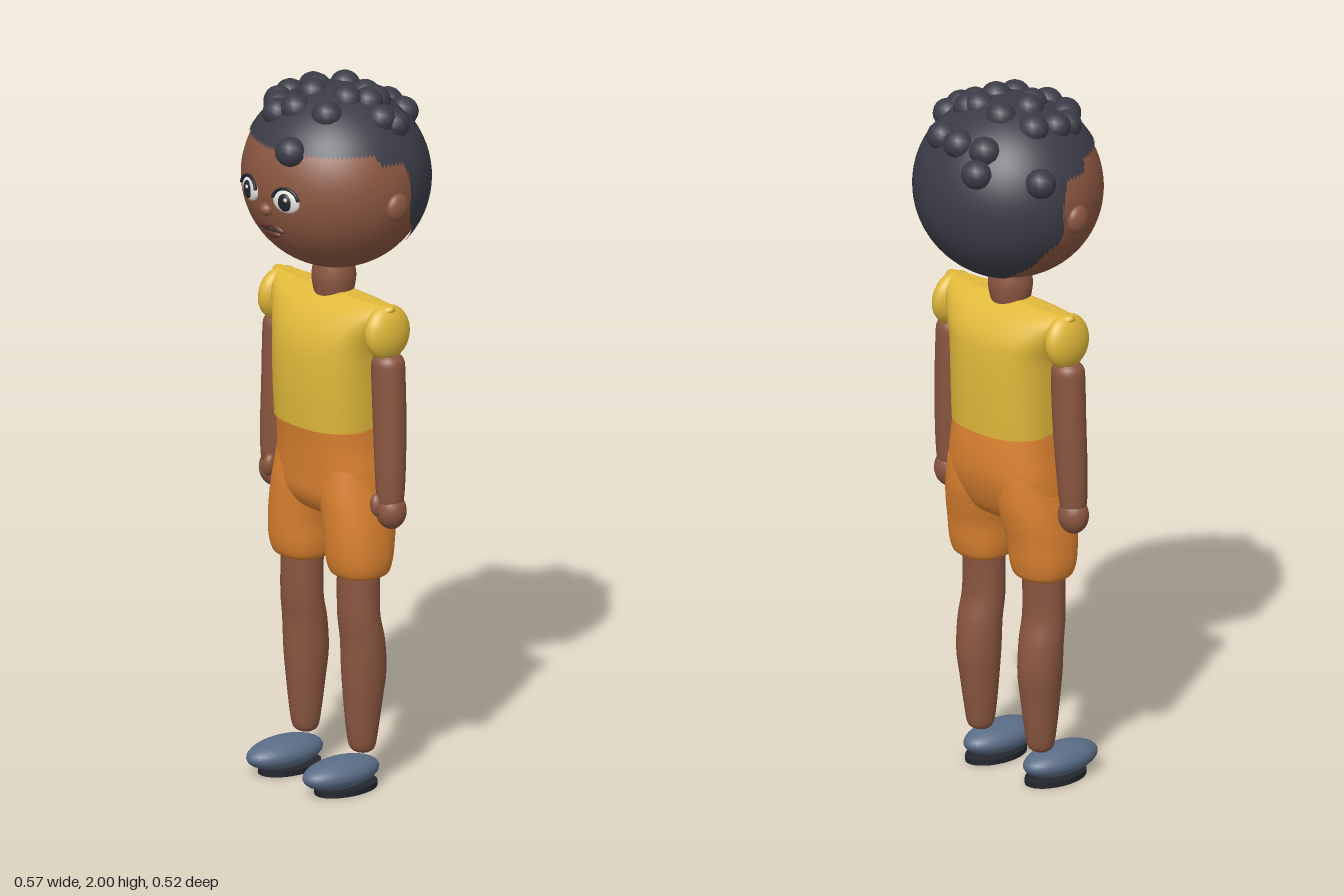
import * as THREE from 'three';

const mat = (name, color) => Object.assign(new THREE.MeshStandardMaterial({ color }), { name });

// Closed smooth body from ellipse-like sections [y, cx, cz, rx, rz], listed bottom to top
function loft(sections, power = 2, sub = 5, sides = 36) {
  const rows = [];
  const at = (i) => sections[THREE.MathUtils.clamp(i, 0, sections.length - 1)];
  for (let i = 0; i < sections.length - 1; i++) {
    for (let s = 0; s < sub; s++) {
      const t = s / sub, t2 = t * t, t3 = t2 * t;
      rows.push(at(i).map((b, k) => {
        const a = at(i - 1)[k], c = at(i + 1)[k], d = at(i + 2)[k];
        return b + 0.5 * ((c - a) * t + (2 * a - 5 * b + 4 * c - d) * t2 + (3 * b - a - 3 * c + d) * t3);
      }));
    }
  }
  rows.push(sections.at(-1));
  const point = (r) => [r[0], r[1], r[2], 0, 0];
  const all = [point(rows[0]), rows[0], ...rows, rows.at(-1), point(rows.at(-1))];
  const pos = [], idx = [];
  const pow = (v) => Math.sign(v) * Math.abs(v) ** (2 / power);
  all.forEach(([y, cx, cz, rx, rz], i) => {
    for (let j = 0; j < sides; j++) {
      const a = (j / sides) * Math.PI * 2;
      pos.push(cx + rx * pow(Math.cos(a)), y, cz + rz * pow(Math.sin(a)));
      if (i === all.length - 1 || i === 1 || i === all.length - 3) continue;
      const p = i * sides + j, n = i * sides + ((j + 1) % sides);
      idx.push(p, p + sides, n, n, p + sides, n + sides);
    }
  });
  const g = new THREE.BufferGeometry();
  g.setAttribute('position', new THREE.Float32BufferAttribute(pos, 3));
  g.setIndex(idx);
  g.computeVertexNormals();
  return g;
}

// Hair shell: a unit sphere whose lower edge follows the hairline [degrees from front, y]
function hairShell(cy, ry) {
  const line = [[0, 1.84], [75, 1.84], [79, 1.81], [96, 1.805], [99, 1.77], [101, 1.63], [110, 1.6],
    [118, 1.55], [140, 1.49], [180, 1.475]];
  const g = new THREE.SphereGeometry(1, 120, 28);
  const { position, normal, uv } = g.attributes;
  for (let i = 0; i < position.count; i++) {
    const phi = uv.getX(i) * Math.PI * 2;
    let a = Math.abs(THREE.MathUtils.radToDeg(phi) - 90);
    if (a > 180) a = 360 - a;
    const k = Math.max(1, line.findIndex((p) => p[0] >= a));
    const y = THREE.MathUtils.mapLinear(a, line[k - 1][0], line[k][0], line[k - 1][1], line[k][1]);
    const theta = (1 - uv.getY(i)) * Math.acos(Math.max(-1, (y - cy) / ry));
    const p = [-Math.cos(phi) * Math.sin(theta), Math.cos(theta), Math.sin(phi) * Math.sin(theta)];
    position.setXYZ(i, ...p);
    normal.setXYZ(i, ...p);
  }
  return g;
}

export function createModel() {
  const root = new THREE.Group();
  root.name = 'child';
  const skin = mat('skin', 0x8a5640), hairMat = mat('hair', 0x3c3c48), yellow = mat('shirt', 0xe0b83a);
  const orange = mat('shorts', 0xdc8230), shoeMat = mat('shoe', 0x5a6c86), soleMat = mat('sole', 0x24262e);
  const white = mat('eyeWhite', 0xe4e0da), dark = mat('eyeDark', 0x20242c), lipMat = mat('lips', 0x62352a);

  const add = (parent, name, geometry, material, p = [0, 0, 0], s = [1, 1, 1]) => {
    const m = new THREE.Mesh(geometry, material);
    m.name = name;
    m.position.set(...p);
    m.scale.set(...s);
    parent.add(m);
    return m;
  };
  const ball = new THREE.SphereGeometry(1, 32, 22);
  const curlBall = new THREE.SphereGeometry(1, 14, 10);
  const group = (name, parent = root) => {
    const g = new THREE.Group();
    g.name = name;
    parent.add(g);
    return g;
  };

  // Head and neck
  const CY = 1.72, CZ = -0.004;
  const head = group('head');
  add(head, 'skull', new THREE.SphereGeometry(1, 56, 40), skin, [0, CY, CZ], [0.263, 0.253, 0.25]);
  add(head, 'neck', loft([[1.37, 0, 0, 0.05, 0.05], [1.4, 0, 0, 0.058, 0.056], [1.44, 0, 0, 0.062, 0.06],
    [1.49, 0, 0, 0.052, 0.05]]), skin);
  add(head, 'nose', ball, skin, [0, 1.675, 0.242], [0.021, 0.018, 0.019]);

  // Hair cap with curls [x, z] resting on it
  add(head, 'hairCap', hairShell(CY, 0.257), hairMat, [0, CY, CZ], [0.27, 0.257, 0.258]);
  const curls = [[-0.09, -0.215], [-0.08, -0.175], [0.005, -0.19], [0.085, -0.175], [-0.225, -0.105],
    [-0.04, -0.075], [0.055, -0.065], [0.085, -0.075], [0.095, -0.04], [0.175, -0.065], [0.16, -0.03],
    [-0.13, -0.04], [-0.06, 0.01], [-0.035, 0.045], [0.065, 0.01], [-0.145, 0.03], [-0.14, 0.075],
    [-0.1, 0.11], [-0.07, 0.14], [-0.02, 0.12], [0.08, 0.095], [0.06, 0.208]];
  for (const [x, z] of curls) {
    const h = Math.sqrt(Math.max(0.02, 1 - (x / 0.27) ** 2 - ((z - CZ) / 0.258) ** 2));
    add(head, 'curl', curlBall, hairMat, [x, CY + 0.242 * h, z], [0.044, 0.041, 0.042]);
  }

  // Mouth: upper lip in two lobes, lower lip, dark parting line
  for (const s of [-1, 1]) {
    const lip = add(head, 'upperLip', ball, lipMat, [s * 0.022, 1.622, 0.223], [0.028, 0.01, 0.009]);
    lip.rotation.z = -s * 0.25;
  }
  add(head, 'lowerLip', ball, lipMat, [0, 1.6, 0.217], [0.03, 0.011, 0.01]);
  add(head, 'mouthLine', ball, dark, [0, 1.612, 0.227], [0.034, 0.002, 0.004]);

  // Shirt body
  add(root, 'shirtBody', loft([[1.03, 0, 0.003, 0.166, 0.136], [1.12, 0, 0.004, 0.169, 0.139],
    [1.2, 0, 0.004, 0.173, 0.138], [1.26, 0, 0.003, 0.18, 0.133], [1.31, 0, 0, 0.197, 0.12],
    [1.36, 0, 0, 0.225, 0.087], [1.388, 0, 0, 0.243, 0.05], [1.4, 0, 0, 0.24, 0.025]], 2.5), yellow);

  // Shorts: hip block plus two legs
  const shorts = group('shorts');
  add(shorts, 'hips', loft([[0.765, 0, 0, 0.07, 0.05], [0.785, 0, 0, 0.13, 0.085], [0.83, 0, 0, 0.178, 0.111],
    [0.9, 0, -0.007, 0.18, 0.126], [0.97, 0, -0.005, 0.171, 0.131], [1.04, 0, 0.003, 0.166, 0.133]], 2.4), orange);

  for (const s of [-1, 1]) {
    const side = s > 0 ? 'left' : 'right';
    const X = (rows) => rows.map(([y, x, ...r]) => [y, s * x, ...r]);

    add(shorts, side + 'ShortsLeg', loft(X([[0.61, 0.117, 0.01, 0.07, 0.066], [0.622, 0.117, 0.01, 0.081, 0.078],
      [0.66, 0.117, 0.01, 0.088, 0.089], [0.72, 0.115, 0.008, 0.088, 0.097], [0.78, 0.107, 0.002, 0.09, 0.106],
      [0.84, 0.098, -0.003, 0.088, 0.113], [0.92, 0.09, -0.008, 0.08, 0.112]]), 2.3), orange);

    // Bare lower leg with a calf bulge
    add(root, side + 'Leg', loft(X([[0.098, 0.117, 0, 0.022, 0.02], [0.112, 0.117, 0, 0.036, 0.035],
      [0.16, 0.117, 0, 0.044, 0.044], [0.25, 0.118, -0.002, 0.053, 0.055], [0.33, 0.119, -0.004, 0.06, 0.063],
      [0.42, 0.119, 0.001, 0.063, 0.06], [0.5, 0.117, 0.013, 0.062, 0.056], [0.63, 0.116, 0.012, 0.058, 0.06]])), skin);

    // Shoe and flat sole
    const shoe = group(side + 'Shoe');
    add(shoe, 'upper', ball, shoeMat, [s * 0.116, 0.053, 0.076], [0.066, 0.043, 0.126]);
    add(shoe, 'sole', new THREE.CylinderGeometry(1, 1, 1, 36), soleMat, [s * 0.116, 0.008, 0.058], [0.062, 0.016, 0.1]);

    // Sleeve, arm, hand and thumb
    const arm = group(side + 'Arm');
    const sleeve = add(arm, 'sleeve', ball, yellow, [s * 0.22, 1.325, 0], [0.04, 0.077, 0.074]);
    sleeve.rotation.z = s * 0.08;
    add(arm, 'armSkin', loft(X([[0.83, 0.24, 0.005, 0.03, 0.03], [0.86, 0.239, 0.005, 0.039, 0.037],
      [0.95, 0.236, 0.003, 0.044, 0.042], [1.08, 0.23, 0, 0.047, 0.045], [1.2, 0.225, 0, 0.049, 0.045],
      [1.245, 0.224, 0, 0.046, 0.043], [1.262, 0.224, 0, 0.032, 0.03]])), skin);
    add(arm, 'hand', ball, skin, [s * 0.241, 0.82, 0.004], [0.044, 0.052, 0.041]);
    const thumb = add(arm, 'thumb', ball, skin, [s * 0.222, 0.838, 0.038], [0.018, 0.032, 0.02]);
    thumb.rotation.z = s * 0.15;

    // Ear
    add(head, side + 'Ear', ball, skin, [s * 0.262, 1.692, 0], [0.022, 0.04, 0.036]);

    // Eye: white, iris, highlight and upper lash
    const eye = group(side + 'Eye', head);
    eye.position.set(s * 0.074, 1.713, 0.235);
    eye.rotation.y = s * 0.25;
    add(eye, 'white', ball, white, [0, 0, 0], [0.043, 0.032, 0.012]);
    add(eye, 'iris', ball, dark, [0, 0, 0.008], [0.022, 0.025, 0.008]);
    add(eye, 'highlight', ball, white, [0.006, 0.01, 0.015], [0.006, 0.006, 0.003]);
    const lash = add(eye, 'lash', new THREE.TorusGeometry(0.042, 0.005, 8, 28, Math.PI * 0.9), dark,
      [0, 0.003, 0.006], [1, 0.85, 1]);
    lash.rotation.z = Math.PI * 0.05;
  }
  return root;
}
